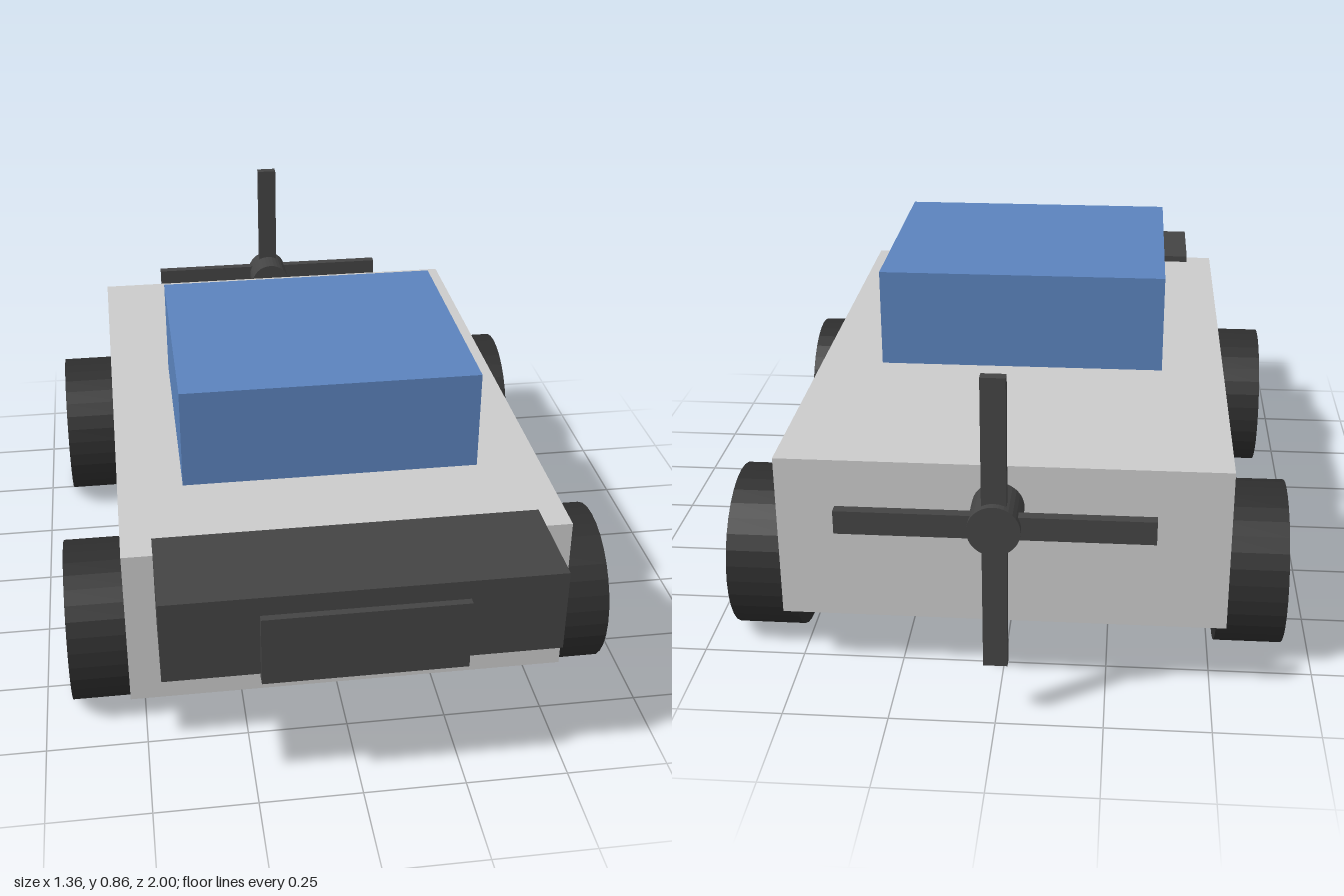
import * as THREE from 'three';

export function createModel() {
  const model = new THREE.Group();
  model.name = 'toyCar';

  const grey = new THREE.MeshStandardMaterial({ color: 0xcccccc });
  const blue = new THREE.MeshStandardMaterial({ color: 0x5b83bd });
  const dark = new THREE.MeshStandardMaterial({ color: 0x444444 });
  const rubber = new THREE.MeshStandardMaterial({ color: 0x2e2e2e, flatShading: true });
  const hubDark = new THREE.MeshStandardMaterial({ color: 0x444444, flatShading: true });

  function add(name, geometry, material, x, y, z, parent = model) {
    const mesh = new THREE.Mesh(geometry, material);
    mesh.name = name;
    mesh.position.set(x, y, z);
    parent.add(mesh);
    return mesh;
  }

  // Box centred on x = 0, given its width and its y and z ranges
  function block(name, material, width, y0, y1, z0, z1) {
    const geometry = new THREE.BoxGeometry(width, y1 - y0, z1 - z0);
    return add(name, geometry, material, 0, (y0 + y1) / 2, (z0 + z1) / 2);
  }

  // Body, cabin and front bumper with its plate
  block('body', grey, 1.07, 0.147, 0.56, -0.79, 0.76);
  block('cabin', blue, 0.746, 0.56, 0.816, -0.195, 0.46);
  block('bumper', dark, 0.923, 0.37, 0.578, 0.715, 0.982);
  block('bumperPlate', dark, 0.476, 0.354, 0.53, 0.972, 1);

  // Four wheels, mirrored left and right
  const wheelGeometry = new THREE.CylinderGeometry(0.203, 0.203, 0.166, 32);
  wheelGeometry.rotateZ(Math.PI / 2);
  for (const [end, z] of [['front', 0.49], ['rear', -0.552]]) {
    for (const [side, sign] of [['Left', 1], ['Right', -1]]) {
      add(`${end}${side}Wheel`, wheelGeometry, rubber, sign * 0.597, 0.203, z);
    }
  }

  // Rear propeller: hub with two crossed blades
  const propeller = new THREE.Group();
  propeller.name = 'propeller';
  propeller.position.set(0, 0.503, -0.94);
  model.add(propeller);

  const hubGeometry = new THREE.CylinderGeometry(0.06, 0.06, 0.12, 32);
  hubGeometry.rotateX(Math.PI / 2);
  add('propellerHub', hubGeometry, hubDark, 0, 0, 0, propeller);

  const bladeGeometry = new THREE.BoxGeometry(0.715, 0.056, 0.025);
  for (let i = 0; i < 2; i++) {
    const blade = add('propellerBlade', bladeGeometry, dark, 0, 0, -0.03, propeller);
    blade.rotation.z = i * Math.PI / 2;
  }

  return model;
}
